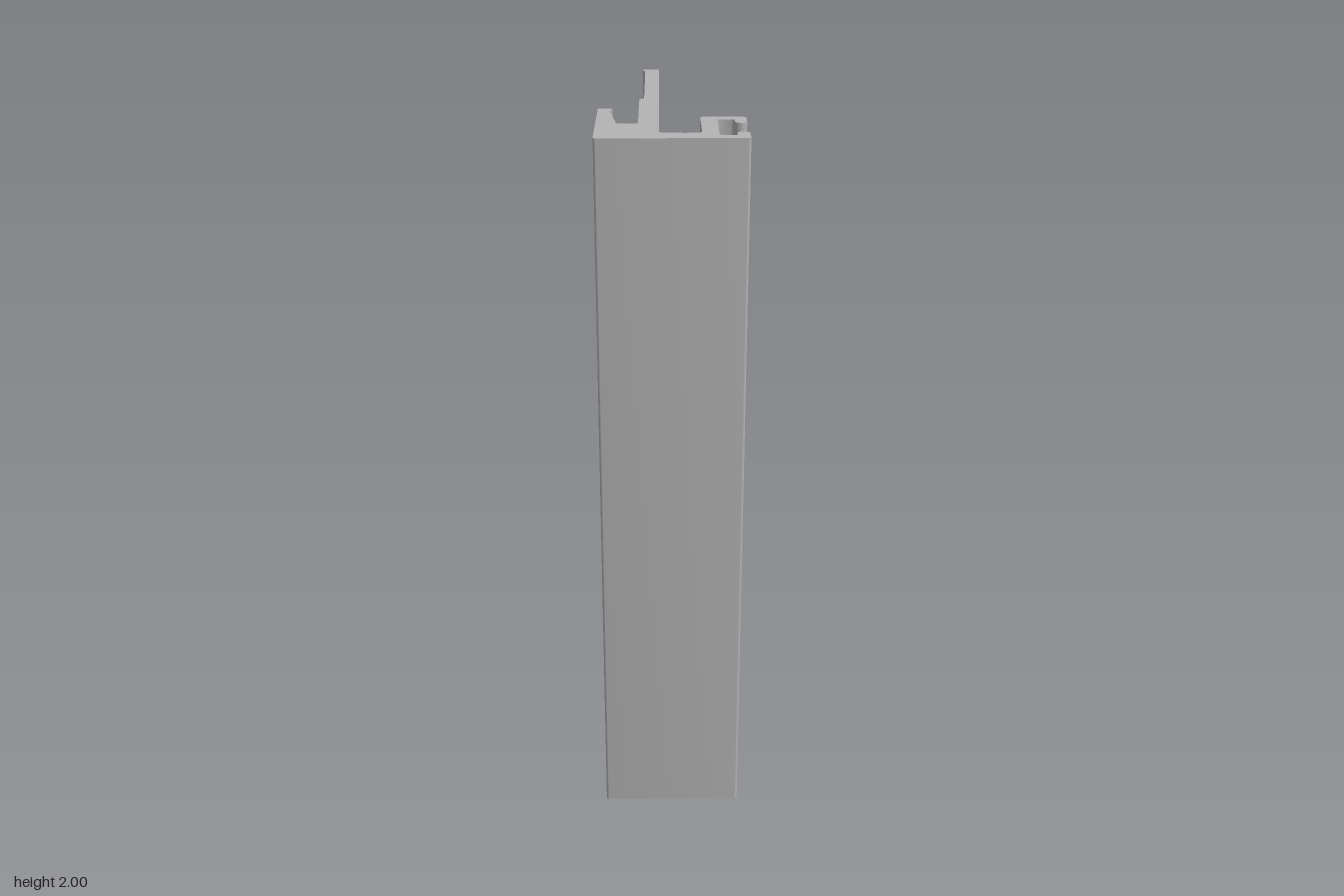
import * as THREE from 'three';
import { toCreasedNormals } from 'three/addons/utils/BufferGeometryUtils.js';

const HEIGHT = 2;

// Closed shape from [x, z, cornerRadius] points, each corner rounded by its radius
function roundedProfile(points) {
  const shape = new THREE.Shape();
  const corners = points.map(([x, z]) => new THREE.Vector2(x, -z));
  const n = points.length;
  corners.forEach((p, i) => {
    const r = points[i][2];
    const toPrev = corners[(i + n - 1) % n].clone().sub(p).normalize();
    const toNext = corners[(i + 1) % n].clone().sub(p).normalize();
    // distance from the corner to where the rounding starts
    const d = r / Math.tan(toPrev.angleTo(toNext) / 2);
    const at = (dir, k) => p.clone().addScaledVector(dir, k);
    const a = at(toPrev, d), b = at(toNext, d);
    if (i === 0) shape.moveTo(a.x, a.y);
    else shape.lineTo(a.x, a.y);
    if (r > 0) {
      const c = at(toPrev, d * 0.448), e = at(toNext, d * 0.448);
      shape.bezierCurveTo(c.x, c.y, e.x, e.y, b.x, b.y);
    }
  });
  shape.closePath();
  return shape;
}

export function createModel() {
  const model = new THREE.Group();
  model.name = 'extrudedRail';
  const aluminium = new THREE.MeshStandardMaterial({ color: 0xb3b3b3 });
  aluminium.name = 'aluminium grey';

  const profile = roundedProfile([
    // front face
    [-0.196, 0.475, 0.007], [0.196, 0.475, 0.007],
    // C-shaped channel with two round lips
    [0.196, 0.4, 0.0155], [0.164, 0.4, 0.0155], [0.164, 0.441, 0.009], [0.119, 0.441, 0.008],
    [0.119, 0.254, 0.008], [0.164, 0.254, 0.008], [0.164, 0.298, 0.0155], [0.196, 0.298, 0.0155],
    [0.196, 0.221, 0.008], [0.076, 0.221, 0.008],
    // floor with a small V groove
    [0.076, 0.409, 0.006], [0.043, 0.409, 0], [0.033, 0.419, 0.001], [0.023, 0.409, 0],
    [-0.032, 0.409, 0.01],
    // long fin with a beaded tip and a step halfway
    [-0.032, -0.475, 0.008], [-0.081, -0.475, 0.008], [-0.081, -0.462, 0.003],
    [-0.073, -0.438, 0.005], [-0.073, -0.024, 0.006], [-0.086, -0.014, 0.005],
    // tapered slot and hooked short leg
    [-0.086, 0.304, 0.006], [-0.141, 0.304, 0.011], [-0.164, 0.151, 0.004],
    [-0.156, 0.124, 0.005], [-0.156, 0.11, 0.006], [-0.196, 0.11, 0.006],
  ]);

  const extruded = new THREE.ExtrudeGeometry(profile, {
    depth: HEIGHT, bevelEnabled: false, curveSegments: 6,
  });
  extruded.rotateX(-Math.PI / 2);
  const rail = new THREE.Mesh(toCreasedNormals(extruded, 0.5), aluminium);
  rail.name = 'railProfile';
  model.add(rail);
  return model;
}
